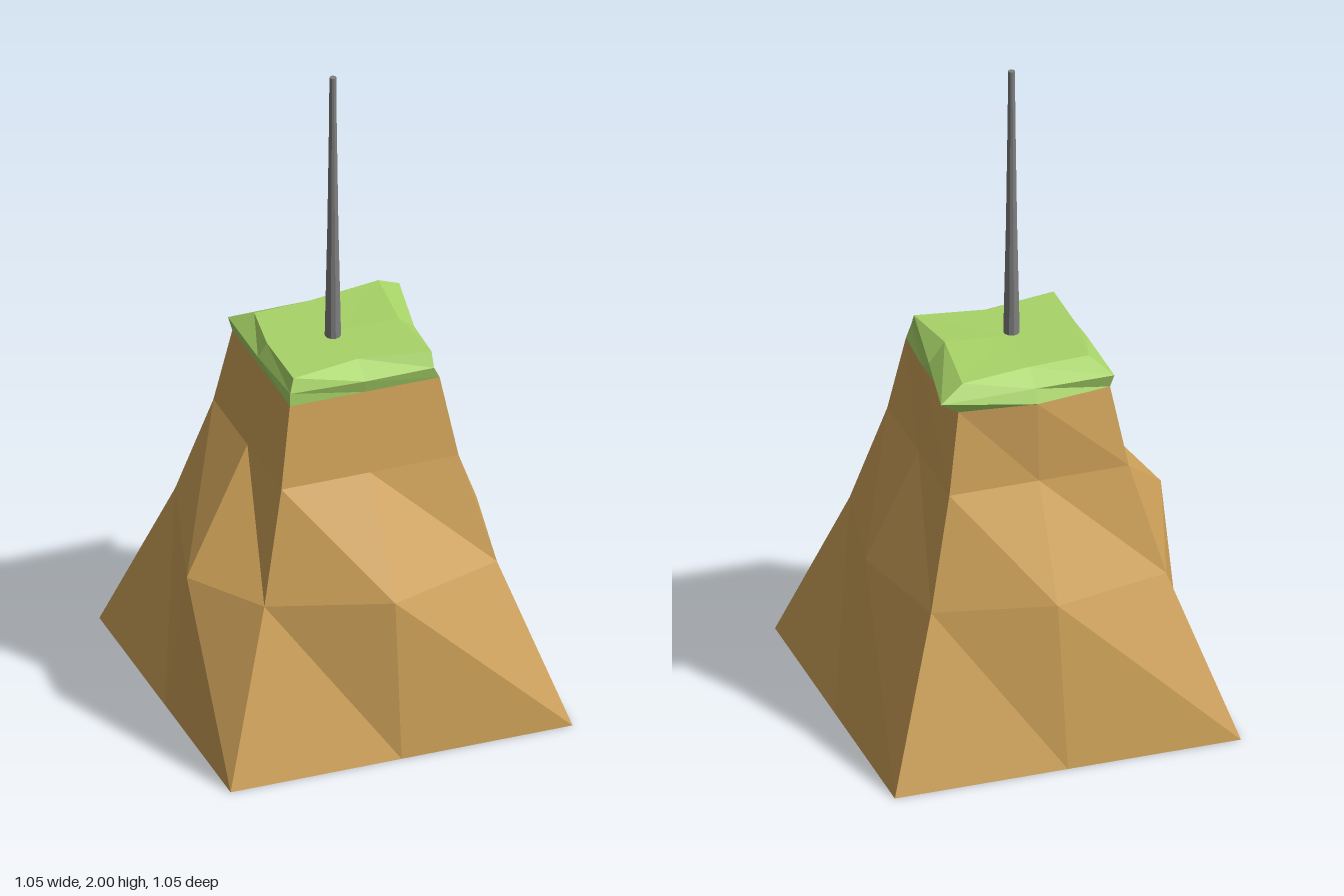
import * as THREE from 'three';

// Joins eight-point rings into a faceted shell; rings run front, front-left corner, left (+x), ... around y.
function shell(name, rings, color, { top = null, bottom = null } = {}) {
  const pos = [];
  const tri = (a, b, c) => pos.push(...a, ...b, ...c);
  for (let r = 0; r < rings.length - 1; r++) {
    const lo = rings[r], hi = rings[r + 1];
    for (let i = 0; i < lo.length; i++) {
      const j = (i + 1) % lo.length;
      tri(lo[i], lo[j], hi[i]);
      tri(lo[j], hi[j], hi[i]);
    }
  }
  const first = rings[0], last = rings[rings.length - 1];
  for (let i = 0; i < 8; i++) {
    const j = (i + 1) % 8;
    if (top) tri(last[i], last[j], top);
    if (bottom) tri(first[j], first[i], bottom);
  }
  const geo = new THREE.BufferGeometry();
  geo.setAttribute('position', new THREE.Float32BufferAttribute(pos, 3));
  geo.computeVertexNormals();
  const mesh = new THREE.Mesh(geo, new THREE.MeshStandardMaterial({ color, flatShading: true }));
  mesh.name = name;
  return mesh;
}

// Square ring with half-width h; overrides replace single points by index.
function ring(y, h, overrides = {}) {
  const signs = [[0, 1], [1, 1], [1, 0], [1, -1], [0, -1], [-1, -1], [-1, 0], [-1, 1]];
  return signs.map(([x, z], i) => overrides[i] ?? [x * h, y, z * h]);
}

export function createModel() {
  const group = new THREE.Group();
  group.name = 'hillWithPole';

  const rim = ring(1.06, 0.23, { 2: [0.24, 1.06, 0.06], 4: [0, 1.06, -0.26] });

  // Earth mound with bulging side midpoints
  group.add(shell('mound', [
    ring(0, 0.525),
    ring(0.49, 0.357, {
      0: [0, 0.49, 0.475], 2: [0.432, 0.49, 0],
      4: [0, 0.49, -0.437], 6: [-0.512, 0.5, 0.14],
    }),
    ring(0.815, 0.272),
    rim,
  ], 0xd0a35a, { bottom: [0, 0, 0] }));

  // Grass cap with an overhanging back corner
  group.add(shell('grassCap', [
    rim,
    ring(1.1, 0.24, {
      1: [0.21, 1.1, 0.238], 2: [0.24, 1.1, 0], 3: [0.287, 1.1, -0.242], 7: [-0.228, 1.1, 0.228],
    }),
    ring(1.14, 0.212, {
      0: [0, 1.14, 0.175], 2: [0.185, 1.15, 0.02], 3: [0.212, 1.142, -0.213],
      4: [0, 1.14, -0.18], 5: [-0.185, 1.14, -0.172],
    }),
  ], 0xa8d468, { top: [0, 1.142, 0.01] }));

  // Tapered pole
  const profile = [[0, 1.12], [0.024, 1.12], [0.016, 1.5], [0.011, 1.86], [0.01, 2], [0, 2]]
    .map(([r, y]) => new THREE.Vector2(r, y));
  const pole = new THREE.Mesh(
    new THREE.LatheGeometry(profile, 10),
    new THREE.MeshStandardMaterial({ color: 0x808080, flatShading: true }),
  );
  pole.name = 'pole';
  pole.position.set(-0.02, 0, 0.027);
  group.add(pole);

  return group;
}
